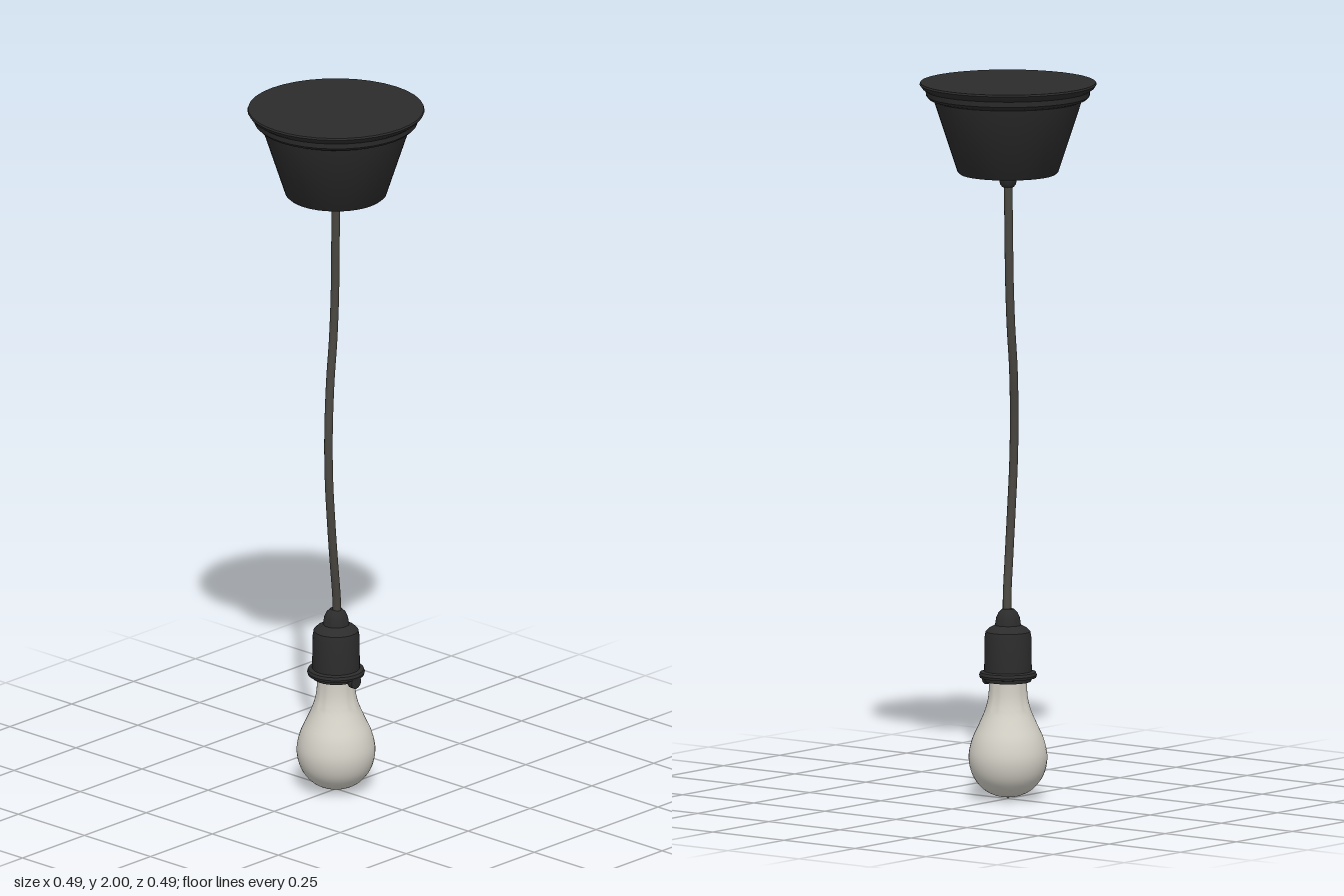
import * as THREE from 'three';
import { toCreasedNormals } from 'three/addons/utils/BufferGeometryUtils.js';

const blackPlastic = new THREE.MeshStandardMaterial({ color: 0x2c2c2c });
blackPlastic.name = 'black plastic';
const fabric = new THREE.MeshStandardMaterial({ color: 0x4a4741 });
fabric.name = 'cable fabric';
const glass = new THREE.MeshStandardMaterial({ color: 0xd4d1c7 });
glass.name = 'frosted glass';

// Turned part from [radius, y] pairs listed bottom to top, with sharp corners kept
function turned(name, profile, material, segments = 32, crease = 0.6) {
  const points = profile.map(([r, y]) => new THREE.Vector2(r, y));
  const geometry = toCreasedNormals(new THREE.LatheGeometry(points, segments), crease);
  const mesh = new THREE.Mesh(geometry, material);
  mesh.name = name;
  return mesh;
}

export function createModel() {
  const model = new THREE.Group();
  model.name = 'pendantLamp';

  // Ceiling canopy: tapered cup with a stepped rim
  model.add(turned('ceilingCanopy', [
    [0, 1.745], [0.132, 1.745], [0.14, 1.752], [0.205, 1.95], [0.218, 1.955],
    [0.226, 1.963], [0.228, 1.978], [0.238, 1.985], [0.245, 1.995], [0.243, 2], [0, 2],
  ], blackPlastic, 36));

  // Cable grip under the canopy
  model.add(turned('cableGrip', [
    [0, 1.708], [0.016, 1.708], [0.022, 1.716], [0.025, 1.73], [0.025, 1.75],
  ], blackPlastic, 20));

  // Gently waving cable
  const path = new THREE.CatmullRomCurve3([
    [0, 0.5, 0.003], [-0.006, 0.56, 0.008], [-0.028, 0.68, 0.018], [-0.043, 0.8, 0.022],
    [-0.05, 0.93, 0.02], [-0.043, 1.06, 0.012], [-0.02, 1.2, -0.003], [-0.003, 1.32, -0.008],
    [0.004, 1.45, -0.008], [0.002, 1.6, -0.004], [0, 1.73, 0],
  ].map((p) => new THREE.Vector3(...p)));
  const cable = new THREE.Mesh(new THREE.TubeGeometry(path, 60, 0.012, 12), fabric);
  cable.name = 'cable';
  model.add(cable);

  // Lamp holder: flange, body, rounded shoulder and top nipple
  model.add(turned('lampHolder', [
    [0.054, 0.328], [0.064, 0.328], [0.066, 0.337], [0.078, 0.339], [0.08, 0.346],
    [0.077, 0.354], [0.066, 0.357], [0.065, 0.45], [0.062, 0.467], [0.052, 0.477],
    [0.036, 0.485], [0.033, 0.505], [0.027, 0.519], [0.016, 0.53], [0, 0.531],
  ], blackPlastic));

  // Small locking tab at the front of the flange
  const tab = new THREE.Mesh(new THREE.CylinderGeometry(0.019, 0.019, 0.014, 16), blackPlastic);
  tab.name = 'lockingTab';
  tab.rotation.x = Math.PI / 2;
  tab.position.set(0, 0.332, 0.07);
  model.add(tab);

  // Pear shaped bulb
  const outline = new THREE.SplineCurve([
    [0, 0.005], [0.035, 0.01], [0.07, 0.029], [0.098, 0.066], [0.109, 0.115],
    [0.1, 0.165], [0.08, 0.21], [0.063, 0.25], [0.054, 0.29], [0.052, 0.345],
  ].map(([r, y]) => new THREE.Vector2(r, y)));
  const profile = outline.getPoints(36).map((p) => [Math.max(p.x, 0), p.y]);
  profile[0] = [0, 0];
  profile.push([0, 0.35]);
  model.add(turned('bulb', profile, glass, 40, 0.9));

  return model;
}
